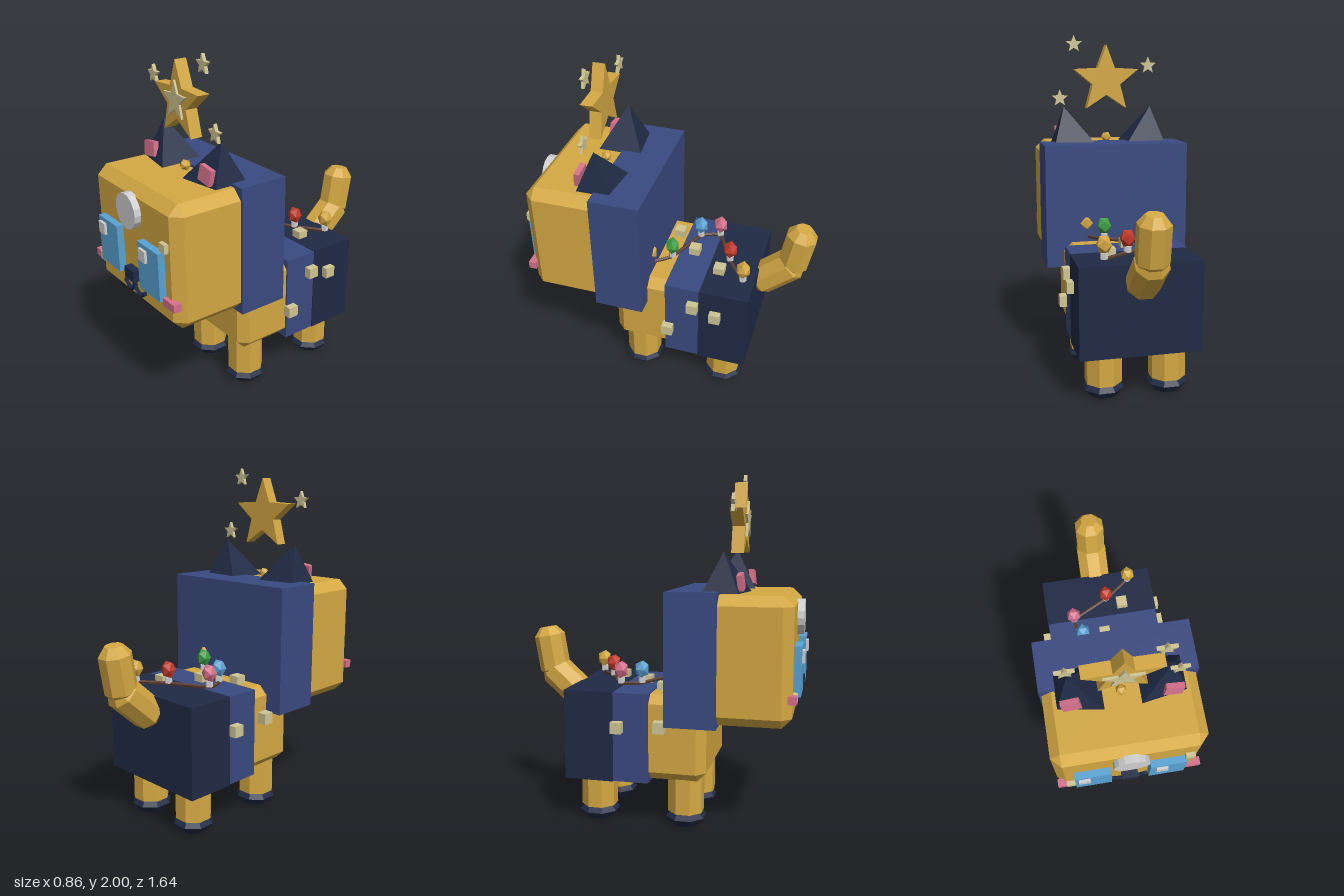
import * as THREE from 'three';
import { ConvexGeometry } from 'three/addons/geometries/ConvexGeometry.js';

export function createModel() {
  const model = new THREE.Group();
  model.name = 'festiveCat';

  const colours = {
    gold: 0xd4a843, darkNavy: 0x1f2a44, blue: 0x3a4a80, cream: 0xd0c694, pink: 0xd4708a,
    skyBlue: 0x5ba3d4, lightGrey: 0xd0d0d0, brown: 0x5c4033, red: 0xc0392b, green: 0x3f9f42,
  };
  const mats = {};
  for (const [name, color] of Object.entries(colours)) {
    mats[name] = new THREE.MeshStandardMaterial({ color });
    mats[name].name = name;
  }

  // Flat-shaded mesh helper
  function add(name, geometry, mat, x = 0, y = 0, z = 0) {
    let flat = geometry.index ? geometry.toNonIndexed() : geometry;
    flat.computeVertexNormals();
    const mesh = new THREE.Mesh(flat, mats[mat]);
    mesh.name = name;
    mesh.position.set(x, y, z);
    model.add(mesh);
    return mesh;
  }
  const box = (name, mat, w, h, d, x, y, z) => add(name, new THREE.BoxGeometry(w, h, d), mat, x, y, z);

  // Box with every edge cut off by c
  function chamferBox(w, h, d, c) {
    const pts = [];
    for (const sx of [-1, 1]) for (const sy of [-1, 1]) for (const sz of [-1, 1]) {
      const [x, y, z] = [w / 2, h / 2, d / 2];
      pts.push(new THREE.Vector3(sx * x, sy * (y - c), sz * (z - c)));
      pts.push(new THREE.Vector3(sx * (x - c), sy * y, sz * (z - c)));
      pts.push(new THREE.Vector3(sx * (x - c), sy * (y - c), sz * z));
    }
    return new ConvexGeometry(pts);
  }

  // Eight-sided lathe with flat sides facing the axes
  const lathe8 = (profile) =>
    new THREE.LatheGeometry(profile.map(([r, y]) => new THREE.Vector2(r, y)), 8, Math.PI / 8);

  // Five-pointed star plate, centred in depth
  function star(r, inner, depth) {
    const shape = new THREE.Shape();
    for (let i = 0; i < 10; i++) {
      const a = Math.PI / 2 + i * Math.PI / 5, q = i % 2 ? inner : r;
      shape[i ? 'lineTo' : 'moveTo'](q * Math.cos(a), q * Math.sin(a));
    }
    shape.closePath();
    return new THREE.ExtrudeGeometry(shape, { depth, bevelEnabled: false }).translate(0, 0, -depth / 2);
  }

  // Head and hood
  add('head', chamferBox(0.84, 0.7, 0.65, 0.055), 'gold', 0, 0.99, 0.445);
  box('hood', 'blue', 0.864, 0.73, 0.285, 0, 0.99, 0.2325);

  // Body and its wrap
  add('body', chamferBox(0.66, 0.49, 0.78, 0.05), 'gold', 0, 0.53, -0.09);
  box('frontWrap', 'blue', 0.68, 0.512, 0.22, 0, 0.527, -0.13);
  box('rearWrap', 'darkNavy', 0.688, 0.518, 0.287, 0, 0.527, -0.3675);

  // Ears, cheeks, eyes, legs: mirrored pairs
  for (const s of [-1, 1]) {
    const side = s > 0 ? 'left' : 'right';
    const ear = [[0.345, 1.345, 0.28], [0.1, 1.345, 0.255], [0.1, 1.345, 0.515], [0.345, 1.345, 0.475], [0.275, 1.565, 0.385]];
    add(side + 'Ear', new ConvexGeometry(ear.map(([x, y, z]) => new THREE.Vector3(s * x, y, z))), 'darkNavy');
    const inner = box(side + 'InnerEar', 'pink', 0.1, 0.085, 0.03, s * 0.27, 1.405, 0.478);
    inner.rotation.set(-0.12, 0, -s * 0.15);

    box(side + 'Eye', 'skyBlue', 0.205, 0.272, 0.05, s * 0.21, 0.938, 0.785);
    box(side + 'EyeGlint', 'lightGrey', 0.065, 0.067, 0.03, s > 0 ? 0.172 : -0.26, 1.016, 0.81);
    box(side + 'Cheek', 'pink', 0.105, 0.045, 0.045, s * 0.364, 0.802, 0.77);

    for (const [end, z] of [['Front', 0.168], ['Rear', -0.355]]) {
      add(side + end + 'Leg', new THREE.CylinderGeometry(0.106, 0.106, 0.25, 8, 1, false, Math.PI / 8),
        'gold', s * 0.185, 0.205, z);
      add(side + end + 'Paw', lathe8([[0, 0], [0.083, 0.005], [0.118, 0.048], [0.085, 0.088], [0, 0.088]]),
        'darkNavy', s * 0.185, 0, z);
    }
  }

  // Forehead disc
  add('foreheadDisc', new THREE.CylinderGeometry(0.1, 0.1, 0.045, 16).rotateX(Math.PI / 2), 'lightGrey', 0, 1.2, 0.785);

  // Nose and mouth
  box('nose', 'darkNavy', 0.094, 0.068, 0.05, 0, 0.832, 0.788);
  box('mouthStem', 'darkNavy', 0.02, 0.07, 0.025, 0, 0.775, 0.778);
  for (const s of [-1, 1]) {
    const path = new THREE.CatmullRomCurve3([[0, 0.75], [0.03, 0.722], [0.07, 0.722], [0.102, 0.745]]
      .map(([x, y]) => new THREE.Vector3(s * x, y, 0.778)));
    add('mouthCurve', new THREE.TubeGeometry(path, 6, 0.012, 5), 'darkNavy');
    box('mouthCorner', 'darkNavy', 0.018, 0.018, 0.02, s * 0.1, 0.745, 0.778);
  }

  // Tail: two chamfered eight-sided segments
  function tailSegment(name, r, from, to) {
    const a = new THREE.Vector3(0, ...from), b = new THREE.Vector3(0, ...to);
    const len = a.distanceTo(b), c = r * 0.55;
    const mesh = add(name, lathe8([[0, 0], [r * 0.55, 0], [r, c], [r, len - c], [r * 0.55, len], [0, len]]), 'gold');
    mesh.position.copy(a);
    mesh.quaternion.setFromUnitVectors(new THREE.Vector3(0, 1, 0), b.sub(a).normalize());
  }
  tailSegment('lowerTail', 0.098, [0.645, -0.48], [0.875, -0.735]);
  tailSegment('upperTail', 0.092, [0.795, -0.688], [1.1, -0.74]);

  // Stars above the head and topper bead
  add('bigStar', star(0.2156, 0.092, 0.07), 'gold', 0, 1.729, 0.437);
  add('starInlay', star(0.108, 0.046, 0.02), 'cream', 0, 1.733, 0.475);
  for (const [x, y] of [[0.2, 1.948], [-0.275, 1.818], [0.292, 1.617]])
    add('smallStar', star(0.053, 0.023, 0.02), 'cream', x, y, 0.434);
  add('topBead', new THREE.IcosahedronGeometry(0.032, 0), 'gold', 0, 1.372, 0.43);

  // Cream cubes scattered over the coat
  const cubes = [
    [0.35, 0.67, -0.19], [0.35, 0.63, -0.325], [0.35, 0.46, -0.04],
    [-0.355, 0.59, -0.195], [-0.355, 0.605, 0.05],
    [-0.155, 0.79, 0.028], [0, 0.798, -0.108], [0.135, 0.798, -0.293],
  ];
  for (const [x, y, z] of cubes) box('coatCube', 'cream', 0.064, 0.064, 0.064, x, y, z);
  box('faceCube', 'cream', 0.052, 0.05, 0.05, 0.328, 1.11, 0.77);
  box('faceCube', 'cream', 0.056, 0.05, 0.05, -0.337, 0.802, 0.77);

  // String of lights along the back
  const bulbs = [
    ['gold', 0.195, -0.443], ['red', 0.04, -0.332], ['pink', -0.178, -0.22],
    ['skyBlue', -0.138, -0.107], ['green', 0.102, 0.005], ['gold', 0.19, 0.113],
  ];
  const wire = new THREE.CatmullRomCurve3(bulbs.map(([, x, z]) => new THREE.Vector3(x, 0.805, z)), false, 'catmullrom', 0.2);
  add('lightWire', new THREE.TubeGeometry(wire, 30, 0.011, 5), 'brown');
  for (const [mat, x, z] of bulbs) {
    add('bulbSocket', new THREE.CylinderGeometry(0.022, 0.022, 0.035, 6), 'lightGrey', x, 0.825, z);
    add('bulb', new THREE.IcosahedronGeometry(0.045, 0).scale(1, 1.22, 1), mat, x, 0.886, z);
  }

  return model;
}
